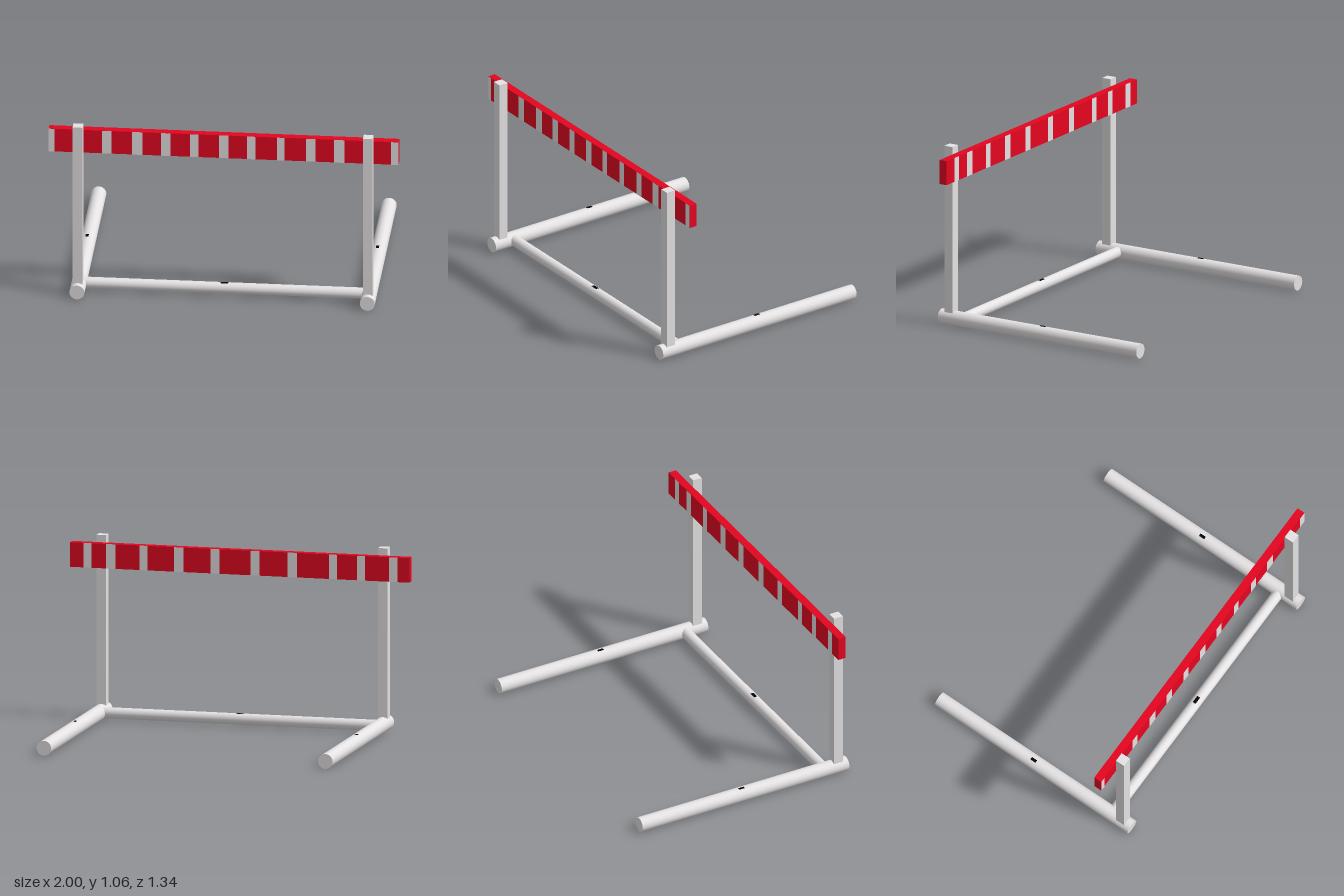
import * as THREE from 'three';

export function createModel() {
  const model = new THREE.Group();
  model.name = 'hurdle';

  const mat = (name, color) => {
    const m = new THREE.MeshStandardMaterial({ color });
    m.name = name;
    return m;
  };
  const metal = mat('light grey metal', 0xe5e2e3);
  const red = mat('red board', 0xe60520);
  const black = mat('black mark', 0x040404);

  const add = (name, geometry, material, x, y, z, parent = model) => {
    const mesh = new THREE.Mesh(geometry, material);
    mesh.name = name;
    mesh.position.set(x, y, z);
    parent.add(mesh);
    return mesh;
  };

  // Small curved plate on top of a tube running along z
  const markGeometry = (radius, length, arc) =>
    new THREE.CylinderGeometry(radius, radius, length, 8, 1, true, Math.PI - arc / 2, arc).rotateX(Math.PI / 2);

  // Foot tubes, uprights and the marks on the feet
  const footR = 0.043;
  for (const [side, s] of [['left', 1], ['right', -1]]) {
    const x = 0.83 * s;
    add(side + 'Foot', new THREE.CylinderGeometry(footR, footR, 1.344, 40).rotateX(Math.PI / 2), metal, x, footR, 0);
    add(side + 'Upright', new THREE.BoxGeometry(0.056, 0.985, 0.057), metal, x, 0.5695, 0.6085);
    add(side + 'FootMark', markGeometry(footR + 0.0006, 0.036, 0.4), black, x - 0.005, footR, -0.01);
  }

  // Tube joining the feet, with its mark
  const barR = 0.032, barY = 0.045, barZ = 0.533;
  add('crossTube', new THREE.CylinderGeometry(barR, barR, 1.61, 40).rotateZ(Math.PI / 2), metal, 0, barY, barZ);
  add('crossTubeMark', markGeometry(barR + 0.0006, 0.045, 0.6).rotateY(Math.PI / 2), black, 0, barY, barZ);

  // Top board
  const boardY = 0.95, boardH = 0.142, boardZ = 0.5535, boardD = 0.047;
  add('board', new THREE.BoxGeometry(2, boardH, boardD), red, 0, boardY, boardZ);

  // Painted stripes as [start, end] along x, on each face of the board
  const stripes = {
    front: [[-1, -0.968], [-0.695, -0.642], [-0.524, -0.465], [-0.358, -0.305], [-0.193, -0.144], [-0.027, 0.027],
      [0.134, 0.182], [0.305, 0.348], [0.471, 0.524], [0.631, 0.69], [0.957, 1]],
    back: [[0.874, 0.92], [0.732, 0.787], [0.543, 0.59], [0.33, 0.386], [0.118, 0.173], [-0.118, -0.063],
      [-0.339, -0.283], [-0.575, -0.528], [-0.74, -0.693], [-0.93, -0.88]],
  };
  for (const [face, spans] of Object.entries(stripes)) {
    const group = new THREE.Group();
    group.name = face + 'Stripes';
    model.add(group);
    const s = face === 'front' ? 1 : -1;
    for (const [a, b] of spans) {
      const plate = new THREE.PlaneGeometry(b - a, boardH);
      if (s < 0) plate.rotateY(Math.PI);
      add(face + 'Stripe', plate, metal, (a + b) / 2, boardY, boardZ + s * (boardD / 2 + 0.0015), group);
    }
  }
  return model;
}
